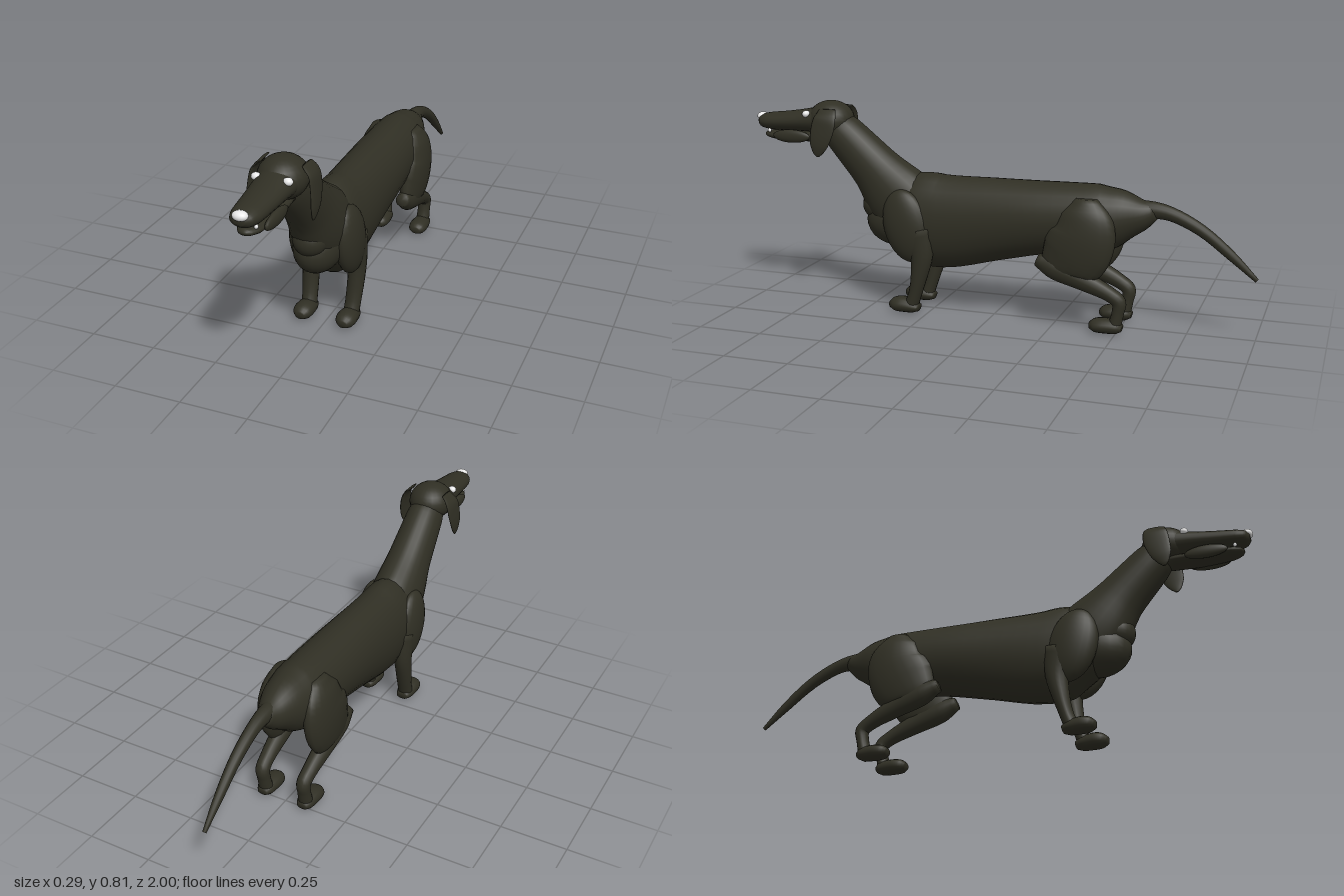
import * as THREE from 'three';

const coat = new THREE.MeshStandardMaterial({ color: 0x302f24 });
coat.name = 'dark coat';
const white = new THREE.MeshStandardMaterial({ color: 0xf2f2f2 });
white.name = 'white';

// Smooth tube of elliptical rings. Each station is [x, y, z, half width in x, half depth].
function loft(name, stations, sides = 20, steps = 4) {
  const path = new THREE.CatmullRomCurve3(stations.map(s => new THREE.Vector3(s[0], s[1], s[2])));
  const size = new THREE.CatmullRomCurve3(stations.map((s, i) => new THREE.Vector3(s[3], s[4], i * 0.05)));
  const n = (stations.length - 1) * steps;
  const X = new THREE.Vector3(1, 0, 0);
  const pos = [], idx = [];
  const ring = (t, scale) => {
    const c = path.getPoint(t), r = size.getPoint(t);
    const dir = path.getTangent(t).setX(0).normalize();
    const N = dir.cross(X);
    for (let j = 0; j < sides; j++) {
      const a = (j / sides) * Math.PI * 2;
      const u = Math.cos(a) * Math.max(r.x, 0.002) * scale;
      const v = Math.sin(a) * Math.max(r.y, 0.002) * scale;
      pos.push(c.x + u, c.y + N.y * v, c.z + N.z * v);
    }
  };
  ring(0, 0);
  for (let i = 0; i <= n; i++) ring(i / n, 1);
  ring(1, 0);
  for (let i = 0; i < n + 2; i++) {
    for (let j = 0; j < sides; j++) {
      const k = (j + 1) % sides;
      const a = i * sides + j, b = i * sides + k, c = a + sides, d = b + sides;
      idx.push(a, b, c, b, d, c);
    }
  }
  const geo = new THREE.BufferGeometry();
  geo.setAttribute('position', new THREE.Float32BufferAttribute(pos, 3));
  geo.setIndex(idx);
  geo.computeVertexNormals();
  const mesh = new THREE.Mesh(geo, coat);
  mesh.name = name;
  return mesh;
}

// Ellipsoid with centre and radii
function blob(name, center, radii, material = coat, tilt = 0) {
  const mesh = new THREE.Mesh(new THREE.SphereGeometry(1, 24, 16), material);
  mesh.position.set(...center);
  mesh.scale.set(...radii);
  mesh.rotation.x = tilt;
  mesh.name = name;
  return mesh;
}

export function createModel() {
  const dog = new THREE.Group();
  dog.name = 'dog';

  // Long body, tail end to breast
  dog.add(loft('torso', [
    [0, 0.46, -0.62, 0.028, 0.03],
    [0, 0.445, -0.57, 0.055, 0.062],
    [0, 0.435, -0.5, 0.085, 0.1],
    [0, 0.42, -0.42, 0.105, 0.128],
    [0, 0.405, -0.2, 0.115, 0.14],
    [0, 0.383, 0, 0.115, 0.162],
    [0, 0.36, 0.2, 0.115, 0.185],
    [0, 0.366, 0.3, 0.11, 0.182],
    [0, 0.365, 0.38, 0.1, 0.125],
    [0, 0.365, 0.44, 0.06, 0.07],
  ], 24));
  dog.add(blob('chest', [0, 0.35, 0.4], [0.088, 0.1, 0.125]));
  dog.add(blob('breast', [0, 0.41, 0.475], [0.065, 0.065, 0.067]));

  dog.add(loft('tail', [
    [0, 0.46, -0.54, 0.035, 0.035],
    [0, 0.463, -0.61, 0.03, 0.032],
    [0, 0.452, -0.68, 0.024, 0.026],
    [0, 0.4, -0.79, 0.021, 0.022],
    [0, 0.315, -0.9, 0.016, 0.018],
    [0, 0.23, -0.995, 0.007, 0.008],
  ], 14));

  dog.add(loft('neck', [
    [0, 0.36, 0.3, 0.1, 0.13],
    [0, 0.44, 0.39, 0.1, 0.138],
    [0, 0.55, 0.49, 0.085, 0.1],
    [0, 0.68, 0.62, 0.073, 0.08],
    [0, 0.73, 0.67, 0.062, 0.06],
  ], 24));

  // Head
  dog.add(blob('cranium', [0, 0.735, 0.675], [0.087, 0.076, 0.092]));
  dog.add(loft('muzzle', [
    [0, 0.735, 0.68, 0.078, 0.062],
    [0, 0.729, 0.77, 0.068, 0.046],
    [0, 0.722, 0.86, 0.06, 0.039],
    [0, 0.718, 0.94, 0.052, 0.034],
    [0, 0.718, 0.975, 0.04, 0.026],
    [0, 0.718, 0.99, 0.018, 0.012],
  ], 24));
  dog.add(loft('lowerJaw', [
    [0, 0.668, 0.68, 0.045, 0.022],
    [0, 0.664, 0.8, 0.05, 0.021],
    [0, 0.665, 0.92, 0.042, 0.018],
    [0, 0.667, 0.955, 0.025, 0.012],
    [0, 0.668, 0.965, 0.008, 0.004],
  ]));
  dog.add(blob('nose', [0, 0.735, 0.979], [0.027, 0.017, 0.021], white));

  // Paired parts
  for (const [side, s] of [['left', 1], ['right', -1]]) {
    dog.add(blob(side + 'Eye', [s * 0.056, 0.76, 0.757], [0.017, 0.014, 0.015], white));
    dog.add(blob(side + 'Lip', [s * 0.047, 0.667, 0.83], [0.015, 0.026, 0.08]));
    dog.add(blob(side + 'Tooth', [s * 0.03, 0.683, 0.935], [0.007, 0.008, 0.007], white));

    // Hanging ear, thin in x
    dog.add(loft(side + 'Ear', [
      [s * 0.076, 0.785, 0.655, 0.007, 0.035],
      [s * 0.1, 0.755, 0.655, 0.008, 0.045],
      [s * 0.11, 0.71, 0.663, 0.007, 0.048],
      [s * 0.114, 0.65, 0.678, 0.007, 0.038],
      [s * 0.111, 0.615, 0.685, 0.005, 0.019],
      [s * 0.109, 0.603, 0.686, 0.003, 0.006],
    ], 16));

    // Front leg
    dog.add(blob(side + 'Shoulder', [s * 0.088, 0.35, 0.325], [0.048, 0.145, 0.095], coat, 0.25));
    dog.add(loft(side + 'FrontLeg', [
      [s * 0.092, 0.34, 0.285, 0.038, 0.07],
      [s * 0.092, 0.24, 0.265, 0.034, 0.046],
      [s * 0.09, 0.15, 0.278, 0.032, 0.032],
      [s * 0.087, 0.08, 0.296, 0.03, 0.026],
      [s * 0.085, 0.035, 0.312, 0.03, 0.028],
    ], 16));
    dog.add(loft(side + 'FrontPaw', [
      [s * 0.085, 0.026, 0.28, 0.024, 0.014],
      [s * 0.085, 0.03, 0.305, 0.034, 0.026],
      [s * 0.085, 0.035, 0.35, 0.039, 0.031],
      [s * 0.085, 0.033, 0.38, 0.035, 0.027],
      [s * 0.085, 0.03, 0.4, 0.018, 0.014],
    ], 16));

    // Hind leg: thigh, shank to hock, paw
    dog.add(loft(side + 'Thigh', [
      [s * 0.075, 0.505, -0.38, 0.025, 0.04],
      [s * 0.088, 0.45, -0.38, 0.042, 0.095],
      [s * 0.095, 0.37, -0.375, 0.049, 0.122],
      [s * 0.097, 0.3, -0.345, 0.046, 0.128],
      [s * 0.095, 0.235, -0.31, 0.036, 0.1],
      [s * 0.093, 0.2, -0.305, 0.02, 0.055],
    ]));
    dog.add(loft(side + 'HindLeg', [
      [s * 0.094, 0.265, -0.2, 0.025, 0.025],
      [s * 0.094, 0.24, -0.27, 0.037, 0.046],
      [s * 0.092, 0.198, -0.38, 0.034, 0.038],
      [s * 0.089, 0.155, -0.475, 0.028, 0.028],
      [s * 0.087, 0.127, -0.511, 0.027, 0.027],
      [s * 0.086, 0.085, -0.508, 0.026, 0.023],
      [s * 0.085, 0.035, -0.497, 0.028, 0.025],
    ], 16));
    dog.add(loft(side + 'HindPaw', [
      [s * 0.085, 0.026, -0.525, 0.02, 0.012],
      [s * 0.085, 0.03, -0.505, 0.032, 0.026],
      [s * 0.085, 0.032, -0.455, 0.038, 0.029],
      [s * 0.085, 0.03, -0.42, 0.034, 0.025],
      [s * 0.085, 0.028, -0.402, 0.018, 0.013],
    ], 16));
  }
  return dog;
}
